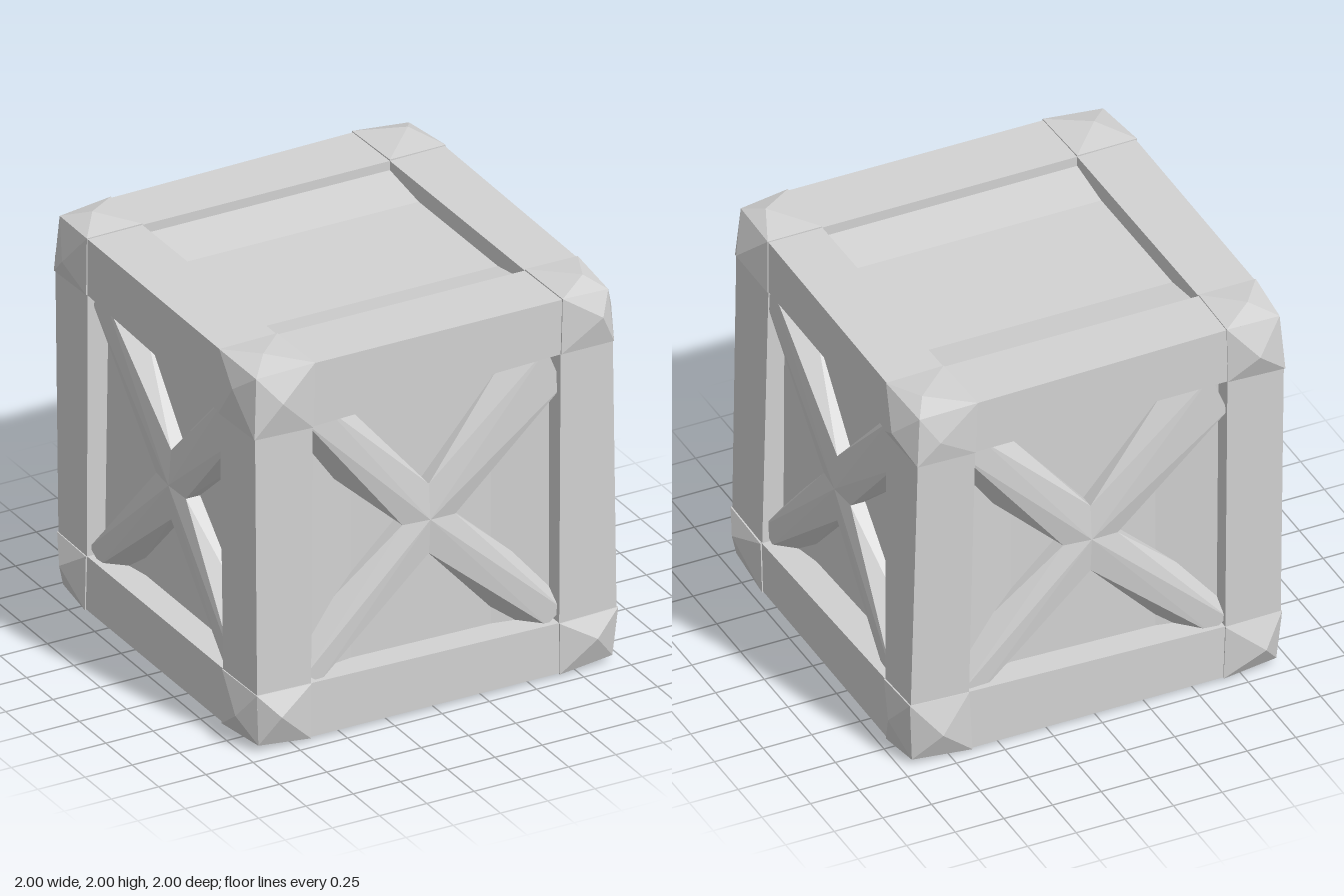
import * as THREE from 'three';
import { ConvexGeometry } from 'three/addons/geometries/ConvexGeometry.js';

// Each corner of the crate: outer point and inner frame point (centred coordinates)
const CORNERS = {
  '-1,1,1': [[-0.965, 0.97, 0.955], [-0.66, 0.64, 0.62]],
  '1,1,1': [[0.925, 0.97, 0.96], [0.65, 0.69, 0.62]],
  '-1,-1,1': [[-0.945, -0.98, 0.94], [-0.66, -0.70, 0.62]],
  '1,-1,1': [[0.955, -0.98, 0.945], [0.65, -0.72, 0.63]],
  '-1,1,-1': [[-0.96, 0.97, -0.945], [-0.67, 0.68, -0.64]],
  '1,1,-1': [[0.935, 0.97, -0.975], [0.64, 0.70, -0.64]],
  '-1,-1,-1': [[-0.945, -0.98, -0.94], [-0.66, -0.70, -0.67]],
  '1,-1,-1': [[0.96, -0.98, -0.945], [0.66, -0.66, -0.68]],
};

export function createModel() {
  const crate = new THREE.Group();
  crate.name = 'crate';
  const grey = new THREE.MeshStandardMaterial({ color: 0xd2d2d2 });
  grey.name = 'grey';

  let seed = 7;
  const wobble = (a) => {
    seed = (seed * 16807) % 2147483647;
    return (seed / 2147483647 - 0.5) * 2 * a;
  };
  const body = new THREE.Group();
  body.name = 'crateBody';
  body.position.y = 1;
  crate.add(body);
  const hull = (name, points, parent = body) => {
    const mesh = new THREE.Mesh(
      new ConvexGeometry(points.map((p) => new THREE.Vector3(...p))), grey);
    mesh.name = name;
    parent.add(mesh);
  };

  // Frame beams join neighbouring corners along each axis
  const section = (key, axis) => {
    const [o, n] = CORNERS[key];
    const [b, c] = [0, 1, 2].filter((i) => i !== axis);
    return [[o, o], [o, n], [n, o], [n, n]].map(([p, q]) => {
      const v = [...o];
      v[axis] = n[axis] * 1.1;
      v[b] = p[b];
      v[c] = q[c];
      return v;
    });
  };
  const beamNames = ['crossBeam', 'uprightBeam', 'depthBeam'];
  for (let axis = 0; axis < 3; axis++) {
    for (const s of [-1, 1]) for (const t of [-1, 1]) {
      const ends = [-1, 1].map((e) => {
        const k = [s, t];
        k.splice(axis, 0, e);
        return section(k.join(','), axis);
      });
      hull(beamNames[axis], ends.flat());
    }
  }

  // Faceted corner caps with a low peak on every outer face
  for (const [key, [o, n]] of Object.entries(CORNERS)) {
    const sign = key.split(',').map(Number);
    const pts = [n, o.map((v, i) => v - sign[i] * 0.015)];
    for (let i = 0; i < 3; i++) {
      const peak = sign.map((s) => s * (0.82 + wobble(0.04)));
      peak[i] = sign[i];
      const edge = o.map((v, j) => v + sign[j] * 0.005);
      edge[i] = n[i] + sign[i] * wobble(0.02);
      const inner = [...n];
      inner[i] = o[i] + sign[i] * 0.007;
      pts.push(peak, edge, inner);
    }
    hull('cornerCap', pts);
  }

  // Dished panel: a flat middle board between two boards rising to the frame
  const dishedPanel = (name, middle, edge) => {
    const panel = new THREE.Group();
    panel.name = name;
    body.add(panel);
    const board = (part, x0, z0, x1, z1) => hull(part,
      [-0.74, 0.74].flatMap((y) => [[x0, y, z0], [x1, y, z1], [x0, y, 0.7], [x1, y, 0.7]]), panel);
    board('middleBoard', -0.4, middle, 0.4, middle);
    board('edgeBoard', -0.72, edge, -0.37, middle);
    board('edgeBoard', 0.37, middle, 0.72, edge);
    return panel;
  };
  for (const s of [-1, 1]) {
    const lid = dishedPanel(s > 0 ? 'topPanel' : 'bottomPanel', 0.88, 0.935);
    lid.rotation.set(-s * Math.PI / 2, 0, Math.PI / 2);
  }

  // Cross brace: four arms, wide in the middle and narrow at the corners
  const L = [-0.14, -0.04], R = [0.14, -0.05], T = [0, 0.14], B = [0, -0.22];
  const arms = [
    // inner pair, raised end pair, wider base pair
    [L, T, [-0.68, 0.65], [-0.57, 0.7], [-0.68, 0.45], [-0.47, 0.7]],
    [R, T, [0.68, 0.5], [0.6, 0.71], [0.68, 0.42], [0.5, 0.71]],
    [L, B, [-0.68, -0.66], [-0.6, -0.72], [-0.68, -0.55], [-0.48, -0.72]],
    [R, B, [0.68, -0.66], [0.6, -0.73], [0.68, -0.55], [0.46, -0.73]],
  ];
  for (let side = 0; side < 4; side++) {
    const face = dishedPanel('sidePanel', 0.8, 0.86);
    face.rotation.y = side * Math.PI / 2;
    for (const [a, b, e, f, g, h] of arms) {
      const at = (p, z) => [p[0], p[1], z];
      hull('braceArm', [
        at(a, 0.875), at(b, 0.875), at([0, -0.04], 0.89), at(e, 0.925), at(f, 0.915),
        at(a, 0.74), at(b, 0.74), at([0, -0.04], 0.74), at(g, 0.78), at(h, 0.78),
      ], face);
    }
  }
  return crate;
}
